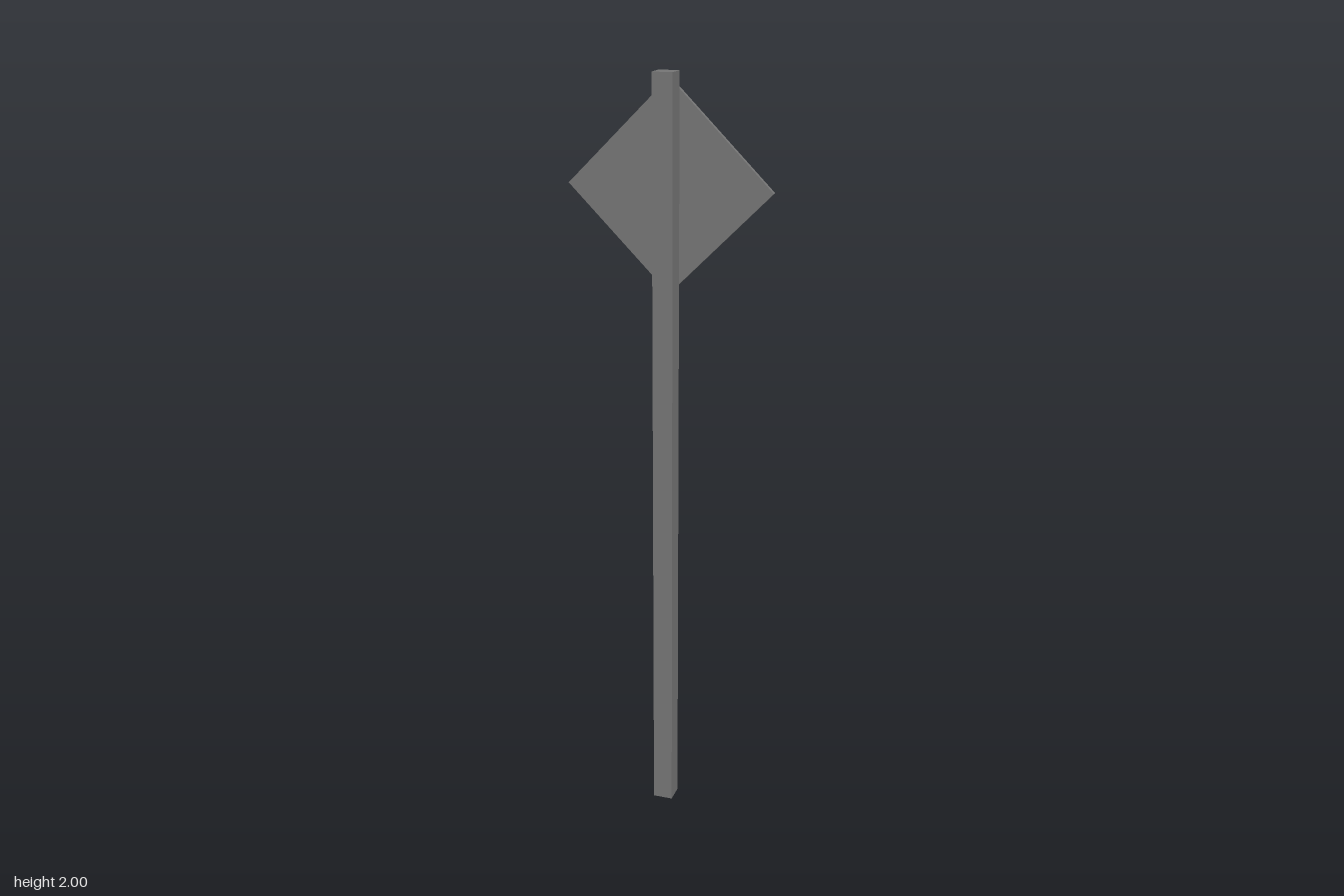
import * as THREE from 'three';

export function createModel() {
  const grey = new THREE.MeshStandardMaterial({ color: 0x757575 });
  grey.name = 'grey metal';
  const yellow = new THREE.MeshStandardMaterial({ color: 0xd6c60f });
  yellow.name = 'sign yellow';

  const group = new THREE.Group();
  group.name = 'roadSign';

  // Square post
  const post = new THREE.Mesh(new THREE.BoxGeometry(0.053, 2, 0.053), grey);
  post.name = 'post';
  post.position.set(0, 1, 0.006);
  group.add(post);

  // Diamond panel fixed behind the post, yellow only on its -z face
  const panel = new THREE.Mesh(
    new THREE.BoxGeometry(0.377, 0.377, 0.013),
    [grey, grey, grey, grey, grey, yellow]
  );
  panel.name = 'signPanel';
  panel.position.set(0, 1.717, -0.027);
  panel.rotation.z = Math.PI / 4;
  group.add(panel);

  return group;
}
